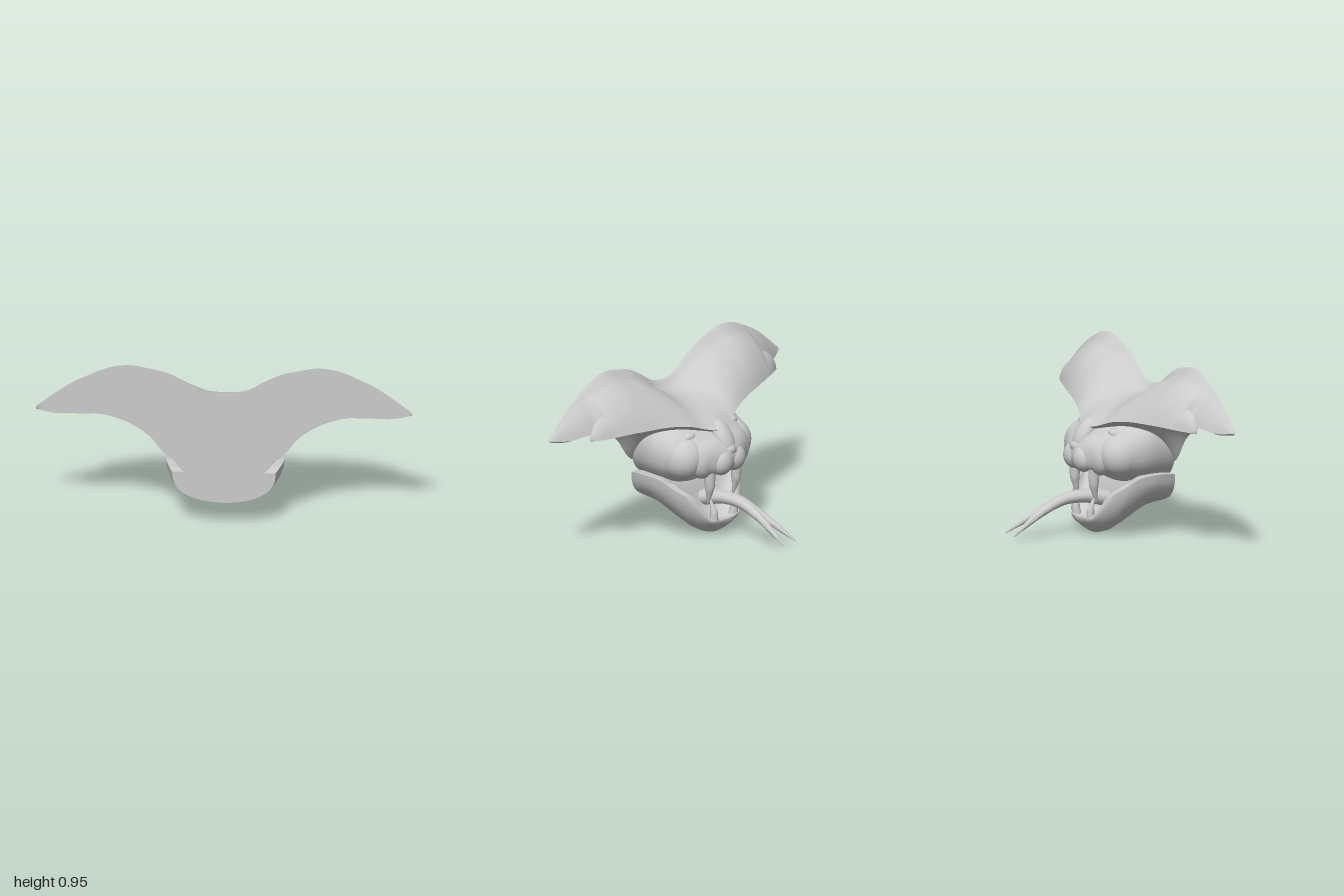
import * as THREE from 'three';
import { toCreasedNormals } from 'three/addons/utils/BufferGeometryUtils.js';

const V = (x, y, z) => new THREE.Vector3(x, y, z);
const material = new THREE.MeshStandardMaterial({ color: 0xcccccc, side: THREE.DoubleSide });

function addMesh(group, name, geometry) {
  const mesh = new THREE.Mesh(geometry, material);
  mesh.name = name;
  group.add(mesh);
  return mesh;
}

// Skin closed rings of points, cap both ends and turn the faces outward.
function loft(rings, crease = 1.1) {
  const n = rings[0].length, points = rings.flat(), index = [];
  for (let i = 0; i < rings.length - 1; i++) {
    for (let j = 0; j < n; j++) {
      const a = i * n + j, b = i * n + (j + 1) % n;
      index.push(a, b, a + n, b, b + n, a + n);
    }
  }
  [0, rings.length - 1].forEach((r, end) => {
    const centre = rings[r].reduce((s, p) => s.add(p), V(0, 0, 0)).divideScalar(n);
    const c = points.push(centre) - 1;
    for (let j = 0; j < n; j++) {
      const a = r * n + j, b = r * n + (j + 1) % n;
      index.push(...(end ? [a, b, c] : [b, a, c]));
    }
  });
  let volume = 0;
  for (let i = 0; i < index.length; i += 3) {
    const [a, b, c] = [0, 1, 2].map(k => points[index[i + k]]);
    volume += a.dot(b.clone().cross(c));
  }
  if (volume < 0) index.reverse();
  const geometry = new THREE.BufferGeometry().setFromPoints(points);
  geometry.setIndex(index);
  return toCreasedNormals(geometry, crease);
}

// Smoothly resample rows of three numbers.
function resample(rows, count) {
  const curve = new THREE.CatmullRomCurve3(rows.map(r => V(...r)), false, 'catmullrom');
  return Array.from({ length: count + 1 }, (_, i) => curve.getPoint(i / count));
}

// Round limb along a curve, with radii running from root to tip.
function taper(path, radii, { steps = 16, width = 1 } = {}) {
  const centres = resample(path, steps);
  return loft(centres.map((p, i) => {
    const t = i / steps * (radii.length - 1), k = Math.min(Math.floor(t), radii.length - 2);
    const r = THREE.MathUtils.lerp(radii[k], radii[k + 1], t - k);
    const along = centres[Math.min(i + 1, steps)].clone().sub(centres[Math.max(i - 1, 0)]).normalize();
    const u = V(1, 0, 0).addScaledVector(along, -along.x).normalize();
    const v = along.clone().cross(u);
    return Array.from({ length: 14 }, (_, j) => {
      const a = j / 14 * Math.PI * 2;
      return p.clone().addScaledVector(u, r * width * Math.cos(a)).addScaledVector(v, r * Math.sin(a));
    });
  }), 1.2);
}

const quad = (a, b, c, t) => (1 - t) * (1 - t) * a + 2 * t * (1 - t) * b + t * t * c;

// Wedge section of the hood at one x: front edge, crown, flat back, arched underside.
function hoodRing(x, frontY, frontZ, top, bottom) {
  const fade = Math.min(1, (0.42 - frontZ) / 0.25);
  const stepZ = 0.42 - 0.04 * fade, stepY = top - 0.045 * fade;
  const ring = [];
  for (let i = 0; i <= 12; i++) {
    const t = i / 12;
    ring.push(V(x, quad(frontY, (frontY + stepY) / 2 + 0.055 * fade, stepY, t),
      quad(frontZ, (frontZ + stepZ) / 2 - 0.04 * fade, stepZ, t)));
  }
  ring.push(V(x, top - 0.015 * fade, 0.42 - 0.02 * fade), V(x, top, 0.42), V(x, bottom, 0.42));
  for (let i = 1; i < 10; i++) {
    const t = i / 10;
    ring.push(V(x, quad(bottom, (frontY + bottom) / 2 + 0.07 * fade, frontY - 0.012, t),
      quad(0.42, (frontZ + 0.42) / 2 + 0.04 * fade, frontZ + 0.01, t)));
  }
  return ring;
}

const mirrorRows = rows => [...rows.slice(1).reverse().map(([x, ...r]) => [-x, ...r]), ...rows];

function ellipsoid(group, name, centre, size, tilt = 0) {
  const mesh = addMesh(group, name, new THREE.SphereGeometry(1, 28, 18));
  mesh.position.set(...centre);
  mesh.scale.set(...size);
  mesh.rotation.x = tilt;
}

export function createModel() {
  const group = new THREE.Group();
  group.name = 'fangedHead';

  // Winged hood: x, front y, front z, top y, back bottom y
  const stations = mirrorRows([
    [0, 0.575, 0.0, 0.78, 0.38], [0.1, 0.595, 0.045, 0.80, 0.38], [0.2, 0.63, 0.075, 0.86, 0.38],
    [0.3, 0.65, 0.105, 0.91, 0.42], [0.4, 0.66, 0.13, 0.935, 0.54], [0.5, 0.665, 0.155, 0.953, 0.61],
    [0.6, 0.67, 0.185, 0.94, 0.65], [0.68, 0.675, 0.215, 0.91, 0.665], [0.71, 0.69, 0.285, 0.895, 0.663],
    [0.8, 0.685, 0.32, 0.85, 0.663], [0.9, 0.675, 0.36, 0.78, 0.663], [1, 0.69, 0.405, 0.7, 0.685]]);
  const fronts = resample(stations.map(s => [s[0], s[1], s[2]]), 88);
  const backs = resample(stations.map(s => [s[0], s[3], s[4]]), 88);
  addMesh(group, 'hood', loft(fronts.map((f, i) => hoodRing(f.x, f.y, f.z, backs[i].y, backs[i].z))));

  // Front wing tips, split from the rear tips by a notch
  for (const side of [-1, 1]) {
    const tips = resample([[0.52, 0.16, 0.77], [0.62, 0.192, 0.782], [0.7, 0.218, 0.778],
      [0.77, 0.248, 0.745], [0.8, 0.28, 0.69]], 12);
    addMesh(group, 'wingTip', loft(tips.map(({ x, y: z, z: top }) => {
      const ring = [V(side * x, 0.66, 0.292)];
      for (let i = 0; i <= 6; i++) {
        ring.push(V(side * x, quad(0.668, 0.25 * 0.668 + 0.75 * top, top, i / 6),
          quad(z, z * 0.75 + 0.292 * 0.25, 0.292, i / 6)));
      }
      return ring;
    })));
  }

  // Skull, boxier towards the back: z, half width, then bottom and top
  const skullRows = [[0.42, 0.28, 0.27, 0.7], [0.37, 0.295, 0.27, 0.7], [0.25, 0.325, 0.27, 0.68],
    [0.16, 0.322, 0.285, 0.65], [0.11, 0.308, 0.322, 0.61], [0.05, 0.265, 0.335, 0.565], [0, 0.2, 0.345, 0.535],
    [-0.03, 0.13, 0.36, 0.505], [-0.055, 0.05, 0.39, 0.47]];
  const widths = resample(skullRows.map(r => [r[0], r[1], 0]), 40);
  const heights = resample(skullRows.map(r => [r[0], r[2], r[3]]), 40);
  const power = (v, p) => Math.sign(v) * Math.abs(v) ** p;
  addMesh(group, 'skull', loft(widths.map((w, i) => Array.from({ length: 40 }, (_, j) => {
    const a = j / 40 * Math.PI * 2, { y: low, z: high } = heights[i];
    return V(w.y * power(Math.cos(a), 0.8), (low + high) / 2 + (high - low) / 2 * power(Math.sin(a), 0.9), w.x);
  })), 1));

  // Lower jaw, solid behind and hollowed in front: z, half width, bottom, rim, floor
  const jawRows = [[0.42, 0.275, 0.15, 0.33, 0.32], [0.37, 0.295, 0.143, 0.34, 0.33], [0.29, 0.315, 0.12, 0.345, 0.33],
    [0.2, 0.312, 0.055, 0.335, 0.3], [0.13, 0.28, 0.01, 0.285, 0.15], [0.07, 0.23, 0, 0.235, 0.09],
    [0.03, 0.175, 0.02, 0.155, 0.08], [0, 0.125, 0.045, 0.1, 0.085], [-0.025, 0.07, 0.065, 0.095, 0.09]];
  const jawOuter = resample(jawRows.map(r => [r[0], r[1], r[2]]), 40);
  const jawInner = resample(jawRows.map(r => [r[0], r[3], r[4]]), 40);
  addMesh(group, 'lowerJaw', loft(jawOuter.map((o, i) => {
    const { y: rim, z: floor } = jawInner[i], ring = [];
    const roundness = THREE.MathUtils.mapLinear(THREE.MathUtils.clamp(o.x, 0.15, 0.4), 0.15, 0.4, 1.25, 0.75);
    for (let j = 0; j <= 20; j++) {
      const a = Math.PI * j / 20;
      ring.push(V(o.y * Math.cos(a), rim - (rim - o.z) * Math.sin(a) ** roundness, o.x));
    }
    for (let j = 0; j <= 12; j++) {
      const a = Math.PI * (1 - j / 12);
      ring.push(V(o.y * 0.84 * Math.cos(a), rim - (rim - floor) * Math.sin(a) ** 1.25, o.x));
    }
    return ring;
  })));

  // Nose and its bridge
  ellipsoid(group, 'noseBridge', [0, 0.535, 0.015], [0.06, 0.1, 0.045], 0.55);
  ellipsoid(group, 'noseTip', [0, 0.475, -0.03], [0.042, 0.032, 0.03]);

  for (const s of [-1, 1]) {
    // Muzzle lobes, cheeks and eyes
    ellipsoid(group, 'muzzleLobe', [s * 0.055, 0.415, -0.012], [0.07, 0.072, 0.06]);
    ellipsoid(group, 'upperLip', [s * 0.14, 0.43, 0.045], [0.095, 0.095, 0.065]);
    ellipsoid(group, 'cheek', [s * 0.205, 0.45, 0.135], [0.112, 0.12, 0.125]);
    ellipsoid(group, 'eye', [s * 0.18, 0.565, 0.105], [0.045, 0.024, 0.03]);
    // Fangs
    addMesh(group, 'upperFang', taper([[s * 0.115, 0.38, 0.02], [s * 0.115, 0.28, 0.018], [s * 0.11, 0.18, 0.035]],
      [0.034, 0.026, 0.003]));
    addMesh(group, 'lowerFang', taper([[s * 0.085, 0.08, 0.015], [s * 0.088, 0.14, 0.012], [s * 0.09, 0.21, 0.035]],
      [0.026, 0.02, 0.003]));
    // Tongue forks
    addMesh(group, 'tongueFork', taper([[s * 0.01, 0.165, -0.18], [s * 0.02, 0.126, -0.26],
      [s * 0.036, 0.075, -0.35], [s * 0.052, 0.028, -0.425]], [0.026, 0.021, 0.014, 0.003]));
  }

  // Tongue
  addMesh(group, 'tongue', taper([[0, 0.16, 0.2], [0, 0.19, 0.08], [0, 0.2, 0], [0, 0.193, -0.1],
    [0, 0.164, -0.18], [0, 0.128, -0.255]], [0.045, 0.04, 0.035, 0.032, 0.029, 0.015], { steps: 24, width: 1.15 }));

  return group;
}
